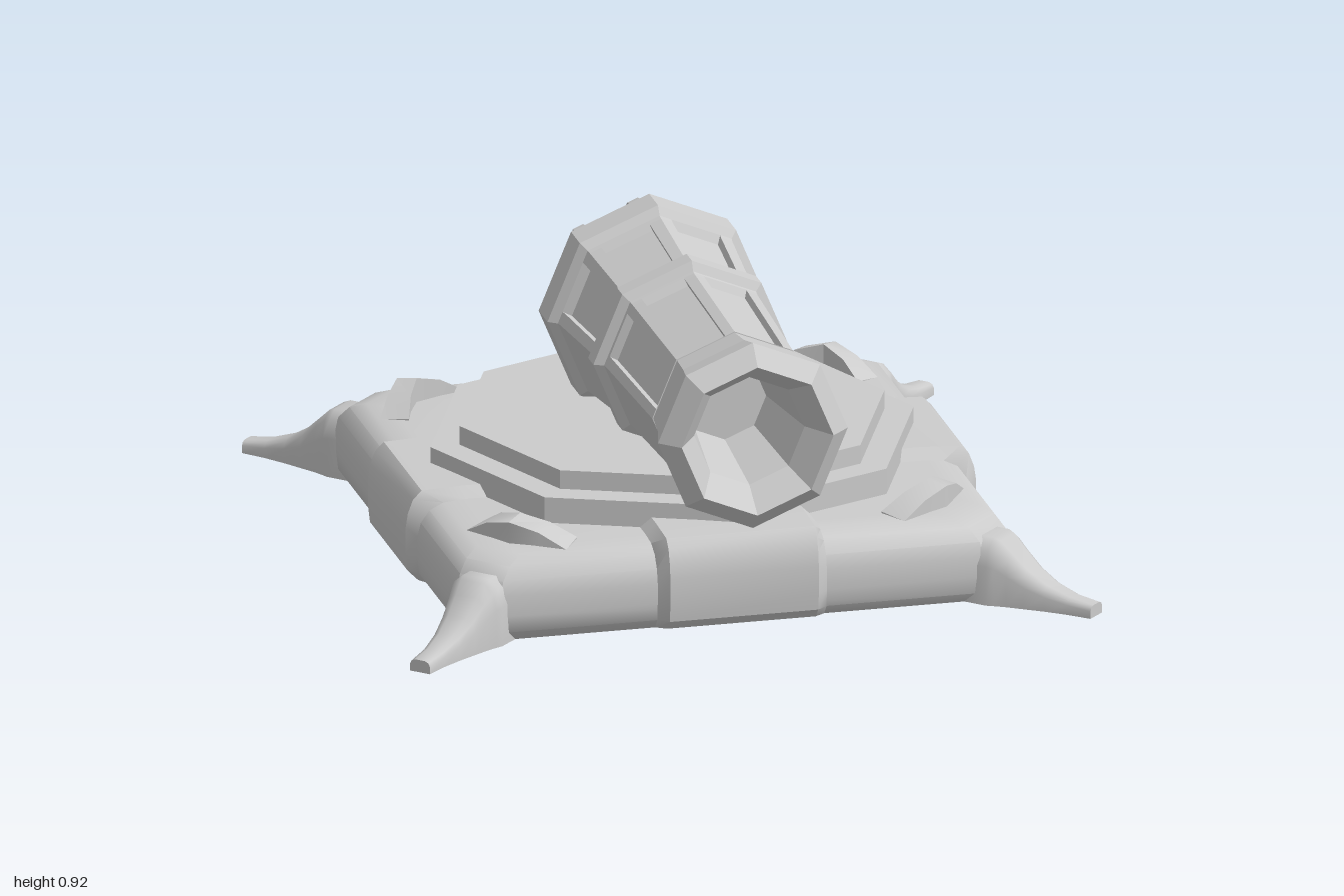
import * as THREE from 'three';
import { toCreasedNormals } from 'three/addons/utils/BufferGeometryUtils.js';

const V = (x, y, z) => new THREE.Vector3(x, y, z);
const smoothMat = new THREE.MeshStandardMaterial({ color: 0xcccccc });
const flatMat = new THREE.MeshStandardMaterial({ color: 0xcccccc, flatShading: true });

// Closed skin through rings of equal point count, capped at both ends, facing outward.
function loft(rings, crease = 0) {
  const tris = [];
  const n = rings[0].length;
  for (let i = 0; i < rings.length - 1; i++) {
    for (let j = 0; j < n; j++) {
      const k = (j + 1) % n;
      const a = rings[i][j], b = rings[i][k], c = rings[i + 1][k], d = rings[i + 1][j];
      tris.push([a, b, c], [a, c, d]);
    }
  }
  const cap = (ring, flip) => {
    const mid = ring.reduce((s, p) => s.add(p), V(0, 0, 0)).divideScalar(n);
    ring.forEach((p, j) => {
      const q = ring[(j + 1) % n];
      tris.push(flip ? [mid, q, p] : [mid, p, q]);
    });
  };
  cap(rings[0], true);
  cap(rings[rings.length - 1], false);
  const volume = tris.reduce((s, [a, b, c]) => s + a.dot(b.clone().cross(c)), 0);
  if (volume < 0) tris.forEach((t) => t.reverse());
  const geo = new THREE.BufferGeometry().setFromPoints(tris.flat());
  geo.computeVertexNormals();
  return crease ? toCreasedNormals(geo, crease) : geo;
}

function add(parent, name, geo, mat) {
  const mesh = new THREE.Mesh(geo, mat);
  mesh.name = name;
  parent.add(mesh);
  return mesh;
}

// Octagon around the z axis; the upper four faces can be sunk by t between corner ridges.
function barrelRing([z, r, t = 0]) {
  const pts = [];
  const corner = (k) => V(r * Math.cos(k * Math.PI / 4), r * Math.sin(k * Math.PI / 4), z);
  for (let k = 0; k < 8; k++) {
    const a = corner(k), b = corner(k + 1);
    const m = (k + 0.5) * Math.PI / 4;
    const inward = V(-Math.cos(m), -Math.sin(m), 0).multiplyScalar(k < 4 ? t : 0);
    const p = a.clone().lerp(b, 0.16), q = a.clone().lerp(b, 0.84);
    pts.push(a, p, p.clone().add(inward), q.clone().add(inward), q);
  }
  return pts;
}

export function createModel() {
  const model = new THREE.Group();

  // Base slab: chamfered square with a rounded upper edge
  const slabProfile = [[0.77, 0], [0.795, 0.03], [0.8, 0.08], [0.8, 0.14], [0.79, 0.18], [0.765, 0.215], [0.725, 0.235], [0.66, 0.24]];
  const slabRings = slabProfile.map(([r, y]) => {
    const c = r - 0.1;
    return [[r, -c], [r, c], [c, r], [-c, r], [-r, c], [-r, -c], [-c, -r], [c, -r]].map(([x, z]) => V(x, y, z));
  });
  add(model, 'baseSlab', loft(slabRings, 0.7), smoothMat);

  // Raised pad in the middle of each side
  const padProfile = [[0.79, 0], [0.82, 0.03], [0.826, 0.08], [0.826, 0.16], [0.82, 0.2], [0.805, 0.24], [0.78, 0.265], [0.66, 0.27]];
  const padRing = (profile, x) => [[0.6, 0], ...profile, [0.6, profile[7][1]]].map(([z, y]) => V(x, y, z));
  const padGeo = loft([
    padRing(slabProfile, -0.245), padRing(padProfile, -0.215),
    padRing(padProfile, 0.215), padRing(slabProfile, 0.245),
  ], 0.6);

  // Tapering corner foot, running out along +z before it is turned
  const footSections = [[1.0, 0.085, 0.19], [1.075, 0.085, 0.19], [1.095, 0.078, 0.182], [1.13, 0.068, 0.15],
    [1.18, 0.058, 0.105], [1.24, 0.046, 0.07], [1.31, 0.036, 0.047], [1.385, 0.032, 0.036]];
  const footGeo = loft(footSections.map(([d, w, h]) =>
    [[-1, 0], [-1, 0.6], [-0.85, 0.87], [-0.5, 1], [0.5, 1], [0.85, 0.87], [1, 0.6], [1, 0]]
      .map(([x, y]) => V(x * w, y * h, d))), 0.8);

  // Bent hump on the slab near each corner: [x inner, z inner, x outer, z outer, top]
  const humpSections = [[0.148, 0.771, 0.163, 0.856, 0.245], [0.08, 0.805, 0.085, 0.878, 0.288], [0, 0.834, 0, 0.898, 0.31]];
  const humpAll = [...humpSections, ...humpSections.slice(0, 2).reverse().map(([a, b, c, d, h]) => [-a, b, -c, d, h])];
  const humpGeo = loft(humpAll.map(([xi, zi, xo, zo, h]) =>
    [V(xi, 0.18, zi), V(xi, h, zi), V(xo, h - 0.01, zo), V(xo, 0.18, zo)]), 0.6);

  for (let i = 0; i < 4; i++) {
    const turn = i * Math.PI / 2;
    add(model, 'sidePad', padGeo, smoothMat).rotation.y = turn;
    add(model, 'cornerFoot', footGeo, smoothMat).rotation.y = turn + Math.PI / 4;
    add(model, 'cornerHump', humpGeo, smoothMat).rotation.y = turn + Math.PI / 4;
  }

  // Two stacked octagonal turntable plates
  for (const [name, r, y0, y1] of [['lowerPlate', 0.7, 0.2, 0.315], ['upperPlate', 0.615, 0.31, 0.37]]) {
    const plate = add(model, name, new THREE.CylinderGeometry(r, r, y1 - y0, 8), flatMat);
    plate.position.y = (y0 + y1) / 2;
  }

  // Cannon: bore, muzzle, two panelled sections with bands, domed breech
  const cannon = new THREE.Group();
  cannon.name = 'cannon';
  cannon.position.y = 0.6;
  model.add(cannon);
  const profile = [
    [0.6, 0.12], [0.88, 0.16], [0.975, 0.22],
    [0.92, 0.275], [0.82, 0.25], [0.71, 0.235],
    [0.71, 0.238], [0.69, 0.239, 0.02], [0.265, 0.255, 0.02], [0.25, 0.256],
    [0.24, 0.258], [0.225, 0.285], [0.165, 0.285], [0.15, 0.262],
    [0.145, 0.265], [0.13, 0.266, 0.022], [-0.125, 0.292, 0.022], [-0.14, 0.295],
    [-0.16, 0.32], [-0.26, 0.32], [-0.28, 0.29],
    [-0.285, 0.282], [-0.295, 0.28, 0.015], [-0.39, 0.265, 0.015], [-0.465, 0.213, 0.012],
    [-0.475, 0.205], [-0.53, 0.09],
  ];
  add(cannon, 'barrel', loft(profile.map(barrelRing)), flatMat);
  const knob = [[-0.5, 0.055], [-0.53, 0.06], [-0.56, 0.08], [-0.615, 0.08], [-0.655, 0.06], [-0.67, 0.035]];
  add(cannon, 'breechKnob', loft(knob.map(barrelRing)), flatMat);

  return model;
}
